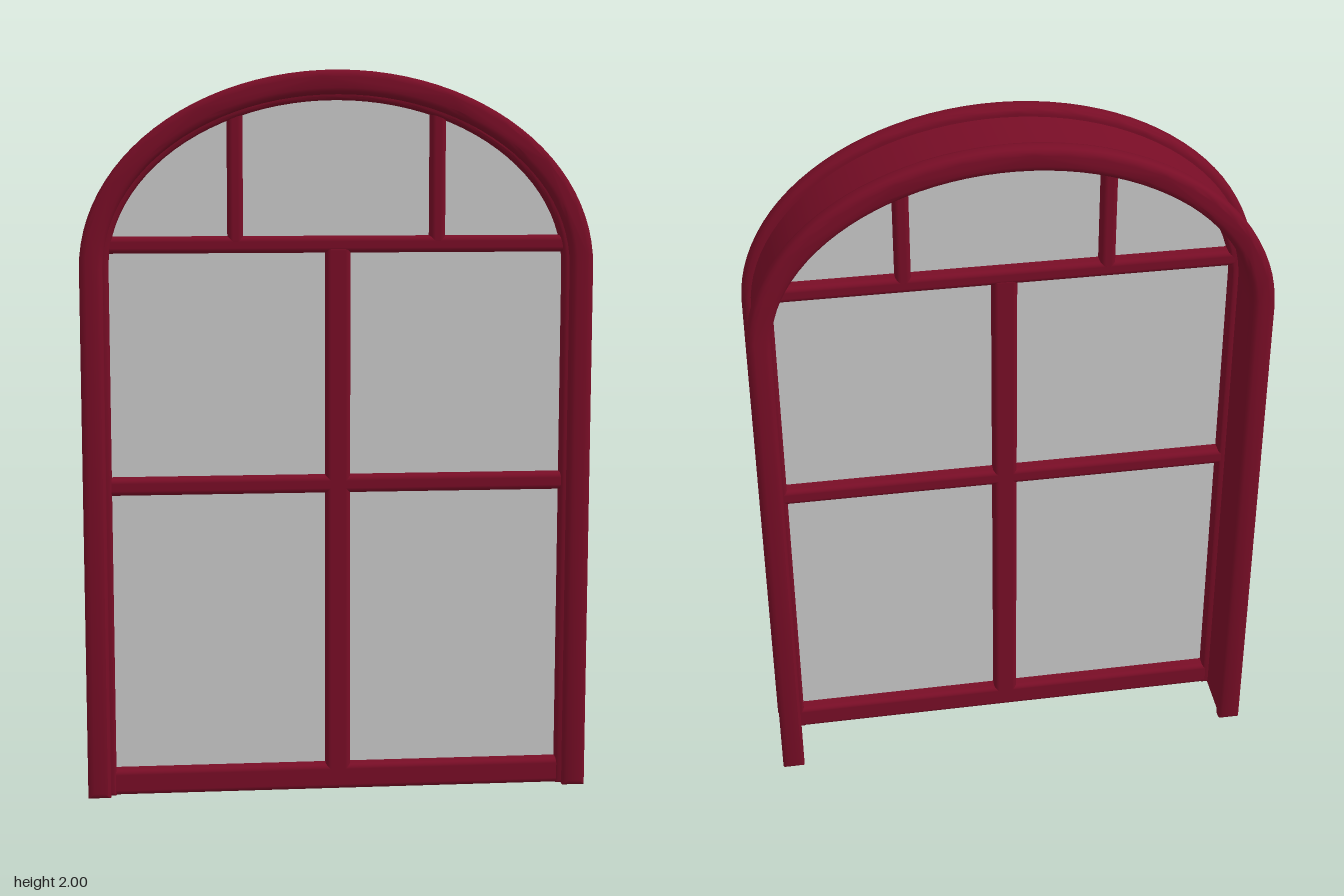
import * as THREE from 'three';
import { toCreasedNormals } from 'three/addons/utils/BufferGeometryUtils.js';
import { RoundedBoxGeometry } from 'three/addons/geometries/RoundedBoxGeometry.js';

const SPRING = 1.47; // height where the arch starts

// Points of a round-topped outline, right foot to left foot
function archPoints(halfWidth, top, foot = 0) {
  const pts = [new THREE.Vector2(halfWidth, foot)];
  const steps = 48;
  for (let i = 0; i <= steps; i++) {
    const a = (Math.PI * i) / steps;
    pts.push(new THREE.Vector2(halfWidth * Math.cos(a), SPRING + (top - SPRING) * Math.sin(a)));
  }
  pts.push(new THREE.Vector2(-halfWidth, foot));
  return pts;
}

// Arched band, open at the bottom, between two outlines
function archBand(outer, inner, z0, z1, bevel) {
  const shape = new THREE.Shape([...archPoints(...outer), ...archPoints(...inner).reverse()]);
  const geo = new THREE.ExtrudeGeometry(shape, {
    depth: z1 - z0 - 2 * bevel,
    bevelEnabled: bevel > 0,
    bevelThickness: bevel,
    bevelSize: bevel,
    bevelOffset: -bevel,
    bevelSegments: 3,
  });
  geo.translate(0, 0, z0 + bevel);
  return toCreasedNormals(geo, 0.6);
}

export function createModel() {
  const group = new THREE.Group();
  const red = new THREE.MeshStandardMaterial({ color: 0x780d26 });
  red.name = 'dark red paint';
  const pale = new THREE.MeshStandardMaterial({ color: 0xcacaca });
  pale.name = 'pale glass';

  const add = (name, geo, mat = red) => {
    const mesh = new THREE.Mesh(geo, mat);
    mesh.name = name;
    group.add(mesh);
    return mesh;
  };

  // Casing: recessed wall between two projecting trims
  add('casingWall', archBand([0.677, 1.975], [0.642, 1.94], -0.12, 0.12, 0));
  add('frontTrim', archBand([0.7, 2.0], [0.637, 1.935], 0.09, 0.143, 0.017));
  add('backTrim', archBand([0.7, 2.0], [0.637, 1.935], -0.145, -0.092, 0.017));

  // Sash frame set towards the front
  add('sashFrame', archBand([0.66, 1.96], [0.622, 1.92], 0.03, 0.115, 0.01));

  // Rails and glazing bars: name, x range, y range
  const bars = [
    ['bottomRail', -0.65, 0.65, 0, 0.072],
    ['middleRail', -0.645, 0.645, 0.848, 0.896],
    ['transom', -0.645, 0.645, 1.51, 1.555],
    ['centreMullion', -0.034, 0.034, 0.03, 1.53],
    ['rightArchBar', -0.3, -0.258, 1.53, 1.895],
    ['leftArchBar', 0.252, 0.294, 1.53, 1.895],
  ];
  for (const [name, x0, x1, y0, y1] of bars) {
    const bar = add(name, new RoundedBoxGeometry(x1 - x0, y1 - y0, 0.08, 3, 0.014));
    bar.position.set((x0 + x1) / 2, (y0 + y1) / 2, 0.07);
  }

  // Glass: one arched sheet behind the bars
  const glass = new THREE.ExtrudeGeometry(new THREE.Shape(archPoints(0.635, 1.935, 0.04)), {
    depth: 0.008,
    bevelEnabled: false,
  });
  glass.translate(0, 0, 0.066);
  add('glass', glass, pale);

  return group;
}
